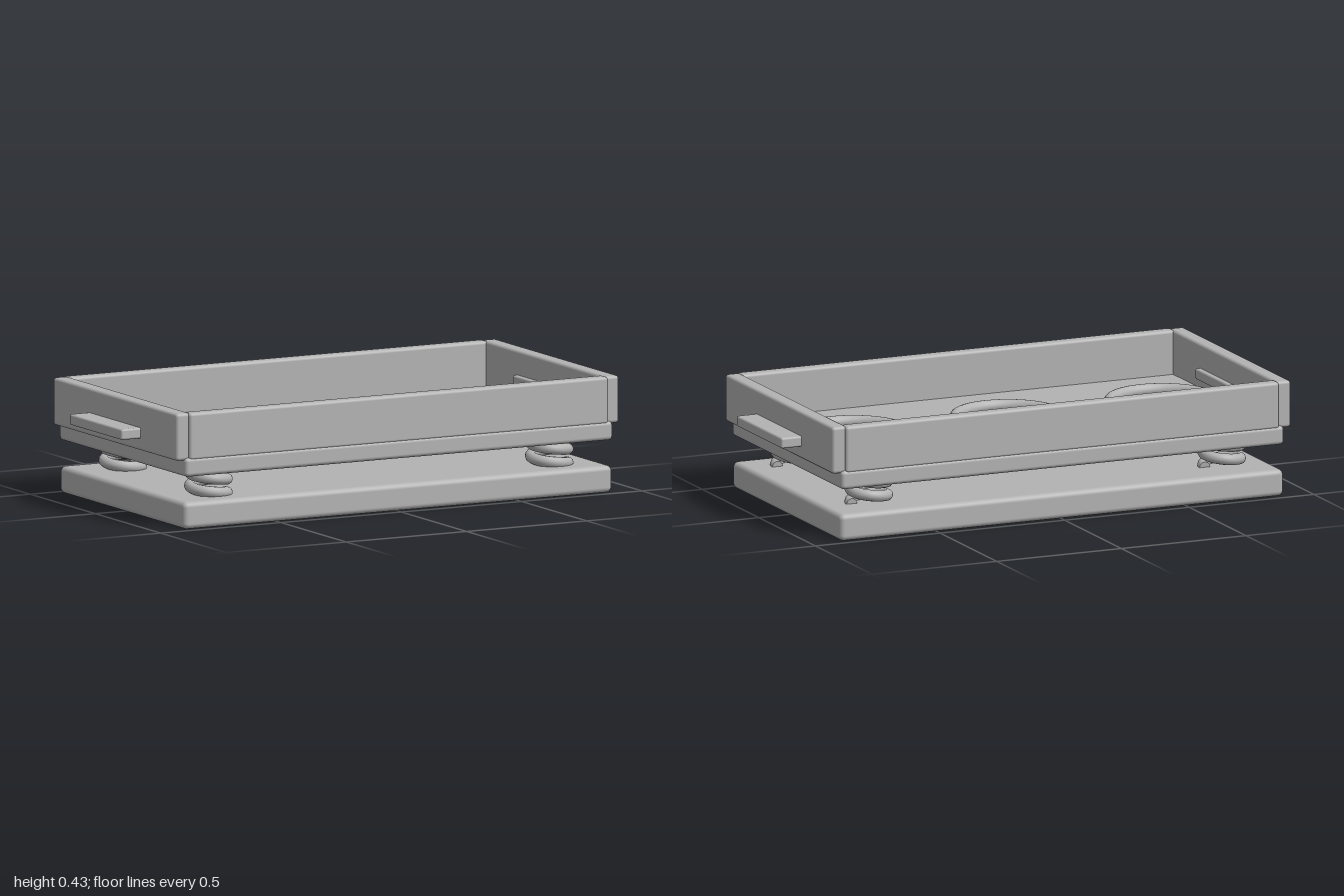
import * as THREE from 'three';
import { RoundedBoxGeometry } from 'three/addons/geometries/RoundedBoxGeometry.js';

const grey = new THREE.MeshStandardMaterial({ color: 0xb3b3b3 });
grey.name = 'plain grey';

// Helix with two turns, rising along y
class Helix extends THREE.Curve {
  constructor(radius, height, turns) {
    super();
    Object.assign(this, { radius, height, turns });
  }
  getPoint(t, target = new THREE.Vector3()) {
    const a = t * this.turns * Math.PI * 2;
    return target.set(this.radius * Math.cos(a), this.height * t, this.radius * Math.sin(a));
  }
}

export function createModel() {
  const model = new THREE.Group();
  model.name = 'springTray';

  const add = (name, geometry, x, y, z, parent = model) => {
    const mesh = new THREE.Mesh(geometry, grey);
    mesh.name = name;
    mesh.position.set(x, y, z);
    parent.add(mesh);
    return mesh;
  };
  // Rounded box given by its size and the height of its underside
  const slab = (name, w, h, d, r, x, bottom, z) =>
    add(name, new RoundedBoxGeometry(w, h, d, 4, r), x, bottom + h / 2, z);

  // Base and sprung platform
  slab('base', 1.78, 0.1, 0.96, 0.02, 0, 0, 0);
  slab('platform', 1.776, 0.07, 0.974, 0.015, 0, 0.195, 0);

  // Tray walls and side handles
  for (const s of [1, -1]) {
    slab(s > 0 ? 'frontWall' : 'backWall', 1.74, 0.175, 0.05, 0.012, 0, 0.255, s * 0.46);
    slab(s > 0 ? 'leftWall' : 'rightWall', 0.06, 0.175, 0.95, 0.012, s * 0.89, 0.255, 0);
    slab(s > 0 ? 'leftHandle' : 'rightHandle', 0.16, 0.04, 0.4, 0.008, s * 0.92, 0.3, 0);
  }

  // Holder rings on the tray floor
  const ring = new THREE.TorusGeometry(0.192, 0.023, 16, 48).rotateX(Math.PI / 2);
  for (const x of [-0.62, 0, 0.62]) add('holderRing', ring, x, 0.28, 0);

  // Coil springs at the four corners, with closed ends
  const coil = new Helix(0.068, 0.1, 2);
  const wire = new THREE.TubeGeometry(coil, 80, 0.021, 12, false);
  const cap = new THREE.CircleGeometry(0.021, 12);
  for (const x of [-0.708, 0.708]) {
    for (const z of [-0.328, 0.328]) {
      const spring = new THREE.Group();
      spring.name = 'spring';
      spring.position.set(x, 0.1, z);
      model.add(spring);
      add('springWire', wire, 0, 0, 0, spring);
      for (const t of [0, 1]) {
        const p = coil.getPoint(t);
        const end = add('springEnd', cap, p.x, p.y, p.z, spring);
        const outward = coil.getTangent(t).multiplyScalar(t ? 1 : -1);
        end.quaternion.setFromUnitVectors(new THREE.Vector3(0, 0, 1), outward);
      }
    }
  }
  return model;
}
